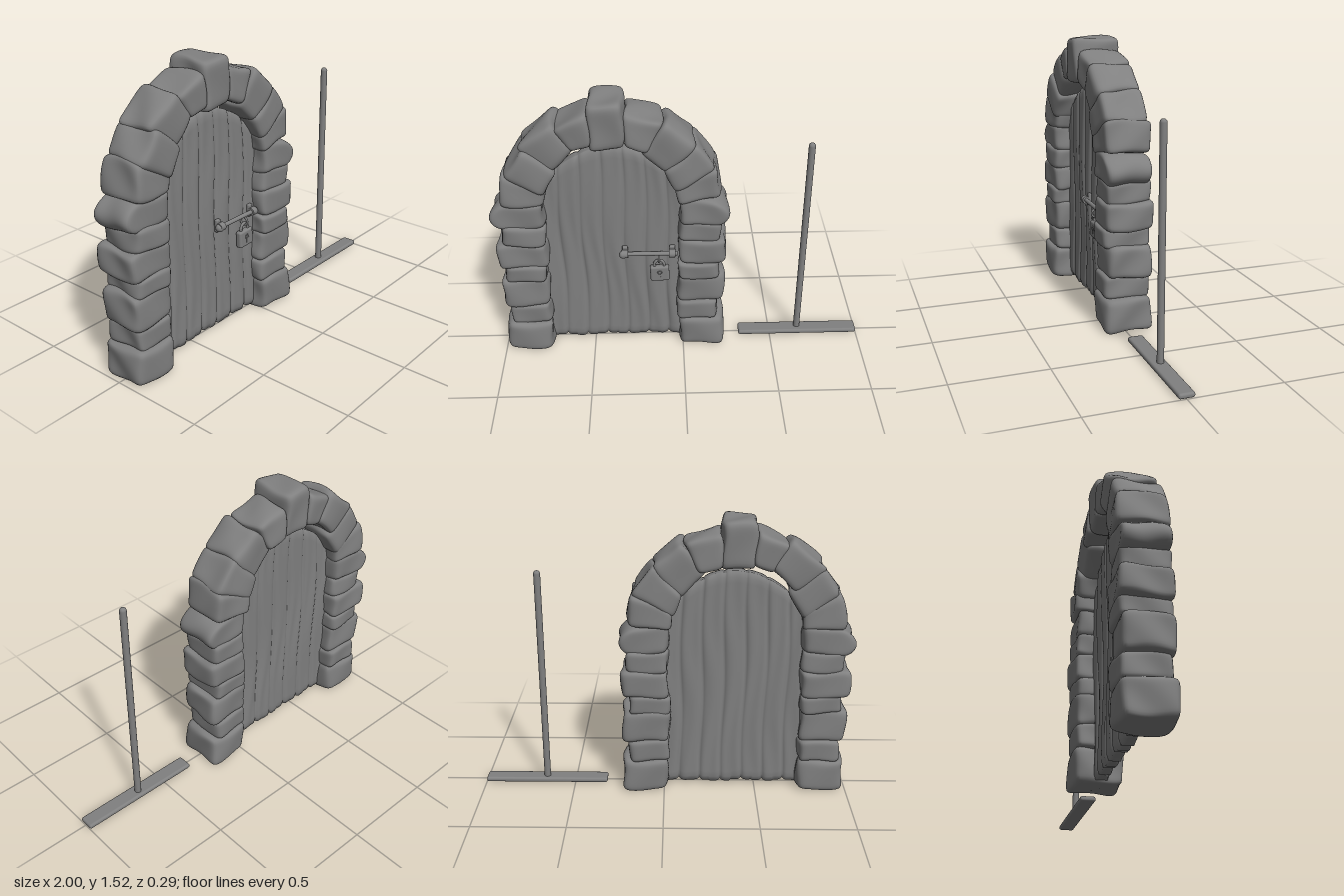
import * as THREE from 'three';
import { mergeVertices } from 'three/addons/utils/BufferGeometryUtils.js';
import { RoundedBoxGeometry } from 'three/addons/geometries/RoundedBoxGeometry.js';

const material = new THREE.MeshStandardMaterial({ color: 0x808080 });

function add(parent, name, geometry, x = 0, y = 0, z = 0) {
  const mesh = new THREE.Mesh(geometry, material);
  mesh.name = name;
  mesh.position.set(x, y, z);
  parent.add(mesh);
  return mesh;
}

// Moves every vertex by a rule, then rebuilds smooth normals
function deform(geometry, rule) {
  geometry.deleteAttribute('uv');
  geometry.deleteAttribute('normal');
  const g = mergeVertices(geometry);
  const p = g.attributes.position;
  const v = new THREE.Vector3();
  for (let i = 0; i < p.count; i++) {
    rule(v.fromBufferAttribute(p, i));
    p.setXYZ(i, v.x, v.y, v.z);
  }
  g.computeVertexNormals();
  return g;
}

// Soft-edged block filling a four-cornered front outline (counter-clockwise);
// nose bulges its left (negative) or right (positive) side outwards
function stoneGeometry([a, b, c, d, nose = 0], seed) {
  const n = 8;
  const shift = 0.005 * Math.sin(seed * 2.3) - 0.006;
  const half = 0.123 + 0.005 * Math.sin(seed * 1.7);
  return deform(new THREE.BoxGeometry(2, 2, 2, 14, 14, 14), (v) => {
    const r = (Math.abs(v.x) ** n + Math.abs(v.y) ** n + Math.abs(v.z) ** n) ** (1 / n);
    v.divideScalar(r);
    const u = (v.x + 1) / 2, t = (v.y + 1) / 2, w = v.z;
    const mix = (k) => (a[k] * (1 - u) + b[k] * u) * (1 - t) + (d[k] * (1 - u) + c[k] * u) * t;
    const x = mix(0) + nose * (1 - v.y * v.y) * (nose < 0 ? 1 - u : u);
    const y = mix(1);
    const wave = 0.006 * Math.sin(x * 17 + y * 13 + seed * 2.1);
    v.set(x + 0.006 * Math.sin(y * 23 + w * 3 + seed),
      Math.max(0, y + 0.006 * Math.sin(x * 21 + w * 2.5 + seed)),
      w * (half + wave) + shift - 0.016 * (x + 0.37));
  });
}

const box = (x0, x1, y0, y1) => [[x0, y0], [x1, y0], [x1, y1], [x0, y1]];

function buildArch() {
  const arch = new THREE.Group();
  arch.name = 'stoneArch';
  const groups = {
    leftJambStone: [
      box(-0.98, -0.73, 0, 0.19), box(-0.95, -0.73, 0.18, 0.31),
      box(-0.98, -0.73, 0.3, 0.49), box(-0.95, -0.73, 0.47, 0.575),
      box(-0.985, -0.72, 0.56, 0.715), box(-0.95, -0.72, 0.7, 0.825),
      [[-0.955, 0.8], [-0.72, 0.81], [-0.72, 0.965], [-0.92, 0.96], -0.06],
    ],
    leftArchStone: [
      [[-0.95, 0.95], [-0.72, 0.94], [-0.7, 1.04], [-0.91, 1.15]],
      [[-0.91, 1.13], [-0.71, 1.0], [-0.63, 1.15], [-0.8, 1.28]],
      [[-0.83, 1.27], [-0.67, 1.14], [-0.53, 1.27], [-0.65, 1.42]],
      [[-0.65, 1.38], [-0.55, 1.25], [-0.45, 1.29], [-0.465, 1.47]],
    ],
    keystone: [box(-0.468, -0.29, 1.265, 1.515)],
    rightArchStone: [
      [[-0.3, 1.28], [-0.18, 1.24], [-0.09, 1.4], [-0.29, 1.46]],
      [[-0.22, 1.24], [-0.08, 1.11], [0.07, 1.28], [-0.08, 1.41]],
      [[-0.1, 1.14], [-0.04, 1.01], [0.175, 1.13], [0.06, 1.29]],
      [[-0.03, 0.94], [0.2, 0.97], [0.17, 1.15], [-0.04, 1.04]],
    ],
    rightJambStone: [
      [[-0.02, 0.81], [0.19, 0.8], [0.17, 0.96], [-0.02, 0.97], 0.06],
      box(-0.02, 0.2, 0.7, 0.825), box(-0.02, 0.23, 0.56, 0.715),
      box(-0.03, 0.19, 0.46, 0.57), box(-0.03, 0.225, 0.3, 0.48),
      box(-0.03, 0.19, 0.18, 0.31), box(-0.02, 0.225, 0, 0.19),
    ],
  };
  let seed = 1;
  for (const [name, outlines] of Object.entries(groups)) {
    outlines.forEach((o) => add(arch, name, stoneGeometry(o, seed++)));
  }
  return arch;
}

// Arched slab of seven planks, with soft wavy seams and a scalloped foot
function buildDoor() {
  const geometry = new THREE.BoxGeometry(0.79, 1, 2, 98, 40, 4);
  return add(new THREE.Group(), 'plankDoor', deform(geometry, (v) => {
    const t = v.y + 0.5;
    const plank = (v.x + 0.395) / 0.79 * 7;
    const seam = (1 - Math.abs(Math.sin(Math.PI * plank))) ** 3;
    const id = Math.round(plank);
    const x = v.x - 0.37 + 0.007 * Math.sin(t * 9 + v.x * 5);
    const bottom = 0.018 + 0.012 * seam + 0.004 * Math.sin(id * 2.6);
    const top = 1.24 - 1.5 * v.x * v.x - 0.006 * seam;
    const y = bottom + t * (top - bottom);
    const edge = t < 0.01 || t > 0.99 ? 0.75 : 1;
    const grain = 0.0025 * Math.sin(plank * 7 + 1.5 * Math.sin(y * 6 + plank));
    v.set(x, y, -0.005 + v.z * ((0.037 - 0.012 * seam) * edge + grain)
      + 0.003 * Math.sin(y * 6 + plank));
  }));
}

// Sliding bolt with a hanging padlock
function buildLatch() {
  const latch = new THREE.Group();
  latch.name = 'latch';
  const y = 0.607, z = 0.062;
  const rod = add(latch, 'boltRod', new THREE.CylinderGeometry(0.012, 0.012, 0.29, 16), -0.175, y, z);
  rod.rotation.z = Math.PI / 2;
  for (const x of [-0.312, -0.058]) {
    add(latch, 'boltBracket', new RoundedBoxGeometry(0.03, 0.07, 0.02, 3, 0.006), x, y, 0.038);
    const collar = add(latch, 'boltCollar', new THREE.CylinderGeometry(0.022, 0.022, 0.034, 18), x, y, z);
    collar.rotation.z = Math.PI / 2;
  }
  add(latch, 'boltKnob', new THREE.SphereGeometry(0.022, 16, 12), -0.322, y - 0.003, z);

  const staple = add(latch, 'staple', new THREE.TorusGeometry(0.022, 0.006, 8, 20), -0.13, 0.576, z);
  staple.rotation.y = Math.PI / 2;

  const lock = new THREE.Group();
  lock.name = 'padlock';
  lock.position.set(-0.127, 0.48, z);
  lock.rotation.z = 0.04;
  latch.add(lock);
  add(lock, 'padlockBody', new RoundedBoxGeometry(0.104, 0.095, 0.036, 4, 0.012));
  const loop = new THREE.CatmullRomCurve3([
    [-0.026, 0.035], [-0.026, 0.06], [-0.016, 0.077], [0, 0.083],
    [0.016, 0.077], [0.026, 0.06], [0.026, 0.035],
  ].map(([a, b]) => new THREE.Vector3(a, b, 0)));
  add(lock, 'shackle', new THREE.TubeGeometry(loop, 28, 0.008, 10));
  add(lock, 'keyholeEye', new THREE.TorusGeometry(0.011, 0.003, 8, 16), 0, 0.01, 0.018);
  add(lock, 'keyholeSlot', new THREE.BoxGeometry(0.008, 0.026, 0.004), 0, -0.014, 0.018);
  return latch;
}

// Separate upright post on a flat foot
function buildStand() {
  const stand = new THREE.Group();
  stand.name = 'postStand';
  add(stand, 'foot', new RoundedBoxGeometry(0.68, 0.028, 0.084, 4, 0.012), 0.66, 0.014, -0.003);
  add(stand, 'post', new THREE.CapsuleGeometry(0.018, 1.185, 6, 20), 0.66, 0.6195, -0.008);
  return stand;
}

export function createModel() {
  const model = new THREE.Group();
  model.name = 'stoneDoorway';
  model.add(buildArch(), buildDoor(), buildLatch(), buildStand());
  return model;
}
